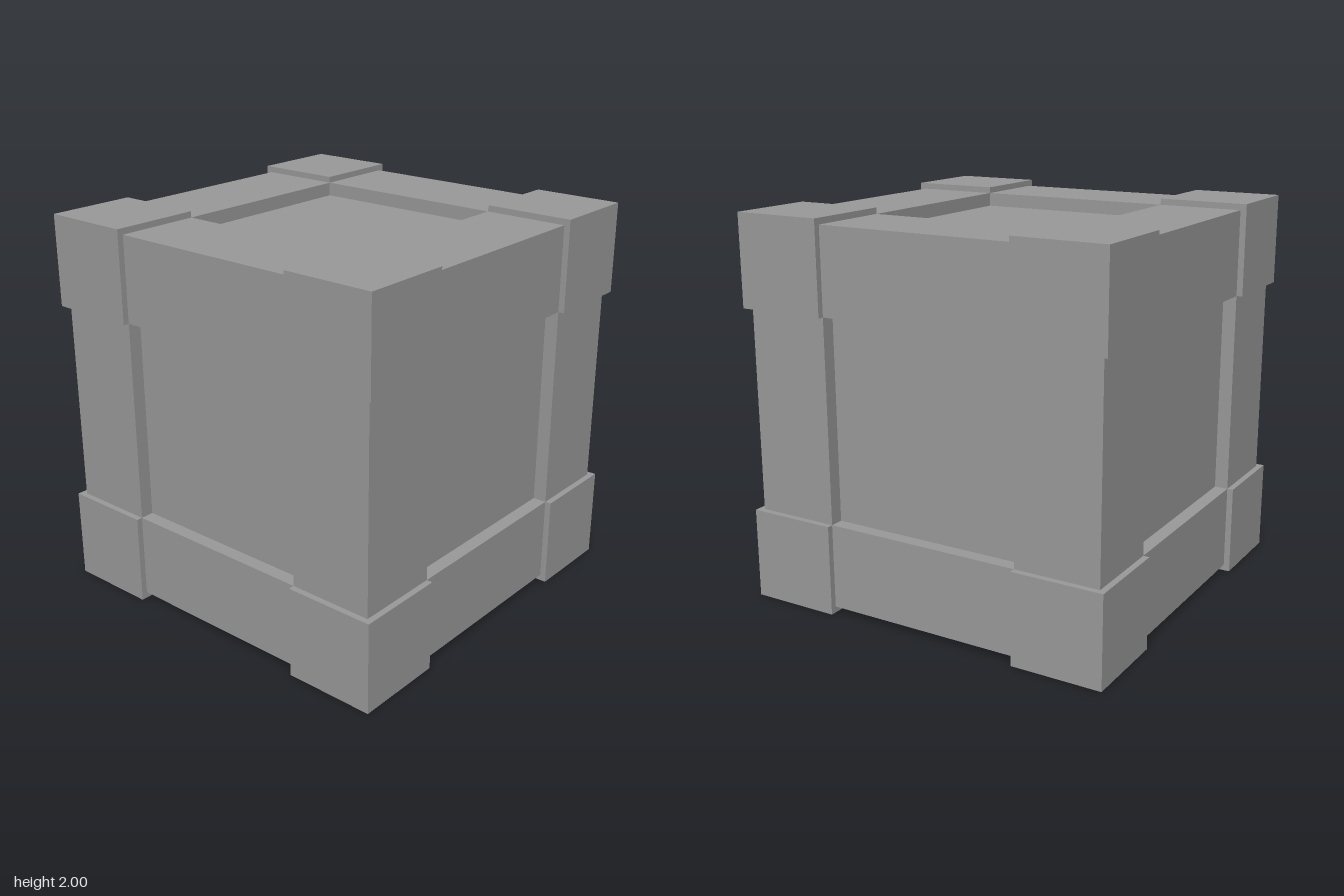
import * as THREE from 'three';

const INNER = 0.527; // inner edge of corners and beams
const BEAM = 0.968;  // outer face of beams
const CORE = 0.897;  // face of the recessed panels

export function createModel() {
  const group = new THREE.Group();
  const material = new THREE.MeshStandardMaterial({ color: 0x9a9a9a, flatShading: true });

  function addBox(name, size, center) {
    const mesh = new THREE.Mesh(new THREE.BoxGeometry(...size), material);
    mesh.position.set(center[0], center[1] + 1, center[2]);
    mesh.name = name;
    group.add(mesh);
  }

  // Inner body whose faces form the six recessed panels
  addBox('panelCore', [2 * CORE, 2 * CORE, 2 * CORE], [0, 0, 0]);

  // Eight raised corner blocks
  const block = 1 - INNER, blockMid = (1 + INNER) / 2;
  for (const x of [-1, 1]) for (const y of [-1, 1]) for (const z of [-1, 1]) {
    addBox('cornerBlock', [block, block, block], [x * blockMid, y * blockMid, z * blockMid]);
  }

  // Twelve edge beams, four along each axis, between the corner blocks
  const thick = BEAM - INNER, beamMid = (BEAM + INNER) / 2;
  const names = ['sideBeam', 'uprightBeam', 'depthBeam'];
  for (let axis = 0; axis < 3; axis++) {
    const size = [thick, thick, thick];
    size[axis] = 2 * INNER;
    for (const a of [-1, 1]) for (const b of [-1, 1]) {
      const center = [0, 0, 0];
      center[(axis + 1) % 3] = a * beamMid;
      center[(axis + 2) % 3] = b * beamMid;
      addBox(names[axis], size, center);
    }
  }
  return group;
}
